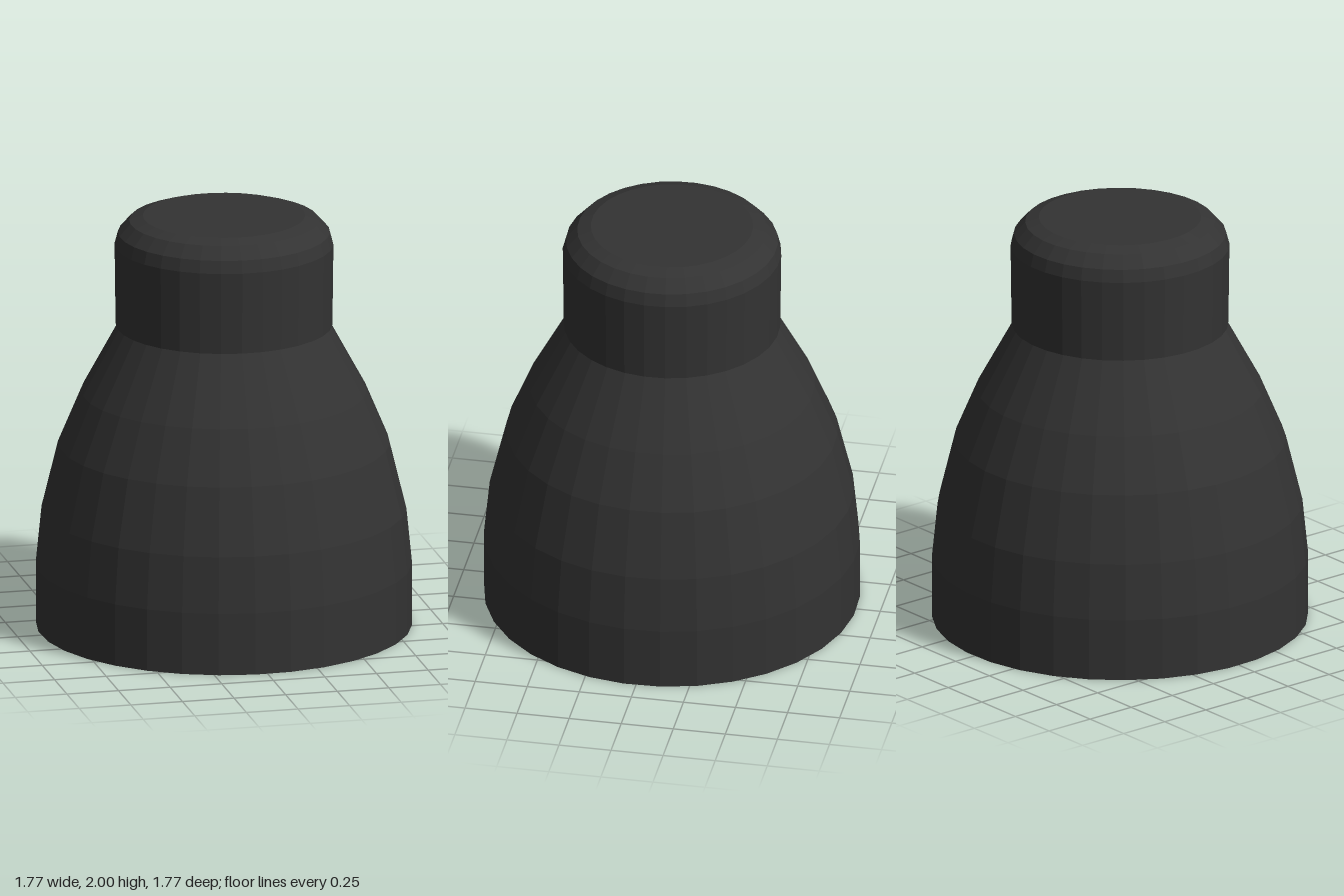
import * as THREE from 'three';

const SIDES = 32;
const TURN = THREE.MathUtils.degToRad(7.45); // where the first facet edge sits
const WALL = 0.02;

function lathe(name, profile, material) {
  const points = profile.map(([r, y]) => new THREE.Vector2(r, y));
  const mesh = new THREE.Mesh(new THREE.LatheGeometry(points, SIDES, TURN), material);
  mesh.name = name;
  return mesh;
}

export function createModel() {
  const group = new THREE.Group();
  group.name = 'bellCap';
  const material = new THREE.MeshStandardMaterial({ color: 0x333333, flatShading: true });

  // Hollow bell: inner wall down, thin rim, outer wall up
  const outer = [[0.887, 0], [0.887, 0.3], [0.86, 0.57], [0.782, 0.89], [0.675, 1.145], [0.5, 1.467]];
  const inner = outer.map(([r, y]) => [r - WALL, y]).reverse();
  group.add(lathe('bell', [...inner, ...outer], material));

  // Solid collar with a rounded top edge, slightly wider than the neck
  group.add(lathe('collar', [
    [0, 1.467], [0.511, 1.467], [0.516, 1.86], [0.5, 1.92],
    [0.447, 1.978], [0.383, 2], [0, 2],
  ], material));

  return group;
}
